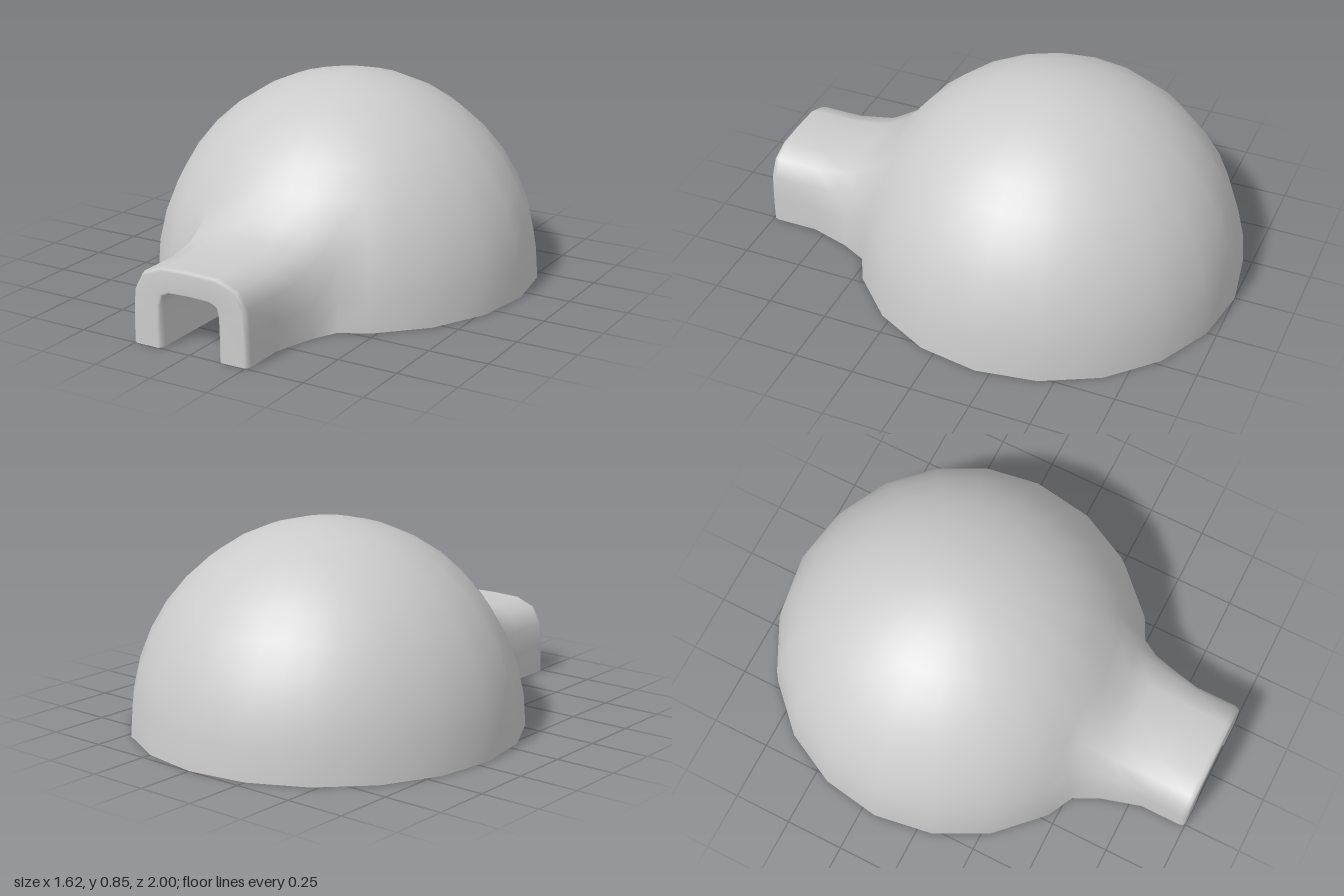
import * as THREE from 'three';
import { mergeVertices } from 'three/addons/utils/BufferGeometryUtils.js';

const R = 0.81, H = 0.85, ZC = -0.19, ROWS = 10;
const HOLE_ROWS = 3, HOLE_COLS = 2; // size of the gap in the dome grid, per side

// Half sections from the foot (+x) to the crown: [x, y, z]
const collar = [[0.31, 0, 0.63], [0.31, 0.13, 0.62], [0.285, 0.27, 0.585], [0.235, 0.39, 0.515], [0.12, 0.405, 0.535], [0, 0.41, 0.54]];
const neck = [[0.285, 0, 0.715], [0.285, 0.12, 0.71], [0.27, 0.235, 0.69], [0.222, 0.315, 0.645], [0.13, 0.345, 0.63], [0, 0.35, 0.63]];
const outerArch = [[0.26, 0], [0.259, 0.12], [0.252, 0.22], [0.213, 0.292], [0.125, 0.325], [0, 0.328]];
const innerArch = [[0.13, 0], [0.13, 0.09], [0.128, 0.17], [0.118, 0.208], [0.09, 0.222], [0, 0.225]];

const mirror = (half) => [...half, ...half.slice(0, -1).reverse().map(([x, y, z]) => [-x, y, z])];

// Arch between the outer (t = 0) and inner (t = 1) outline at depth z
const arch = (t, z) => mirror(outerArch.map(([x, y], i) => [
  x + (innerArch[i][0] - x) * t, y + (innerArch[i][1] - y) * t, z,
]));

function domePoint(row, col) {
  // points around the gap are pulled out into the tunnel collar
  if (row <= HOLE_ROWS && Math.abs(col) === HOLE_COLS) {
    const [x, y, z] = collar[row];
    return [x * Math.sign(col), y, z];
  }
  if (row === HOLE_ROWS && Math.abs(col) < HOLE_COLS) {
    const [x, y, z] = collar[5 - Math.abs(col)];
    return [x * Math.sign(col), y, z];
  }
  // 20-sided plan; odd columns are the midpoints of its sides
  const lat = (row / ROWS) * Math.PI / 2, step = Math.PI / 20;
  const r = R * Math.cos(lat) * (col % 2 ? Math.cos(step) : 1);
  return [r * Math.sin(col * step), H * Math.sin(lat), ZC + r * Math.cos(col * step)];
}

function addDome(out) {
  for (let row = 0; row < ROWS; row++) {
    for (let col = -20; col < 20; col++) {
      if (row < HOLE_ROWS && col >= -HOLE_COLS && col < HOLE_COLS) continue;
      const a = domePoint(row, col), b = domePoint(row, col + 1);
      const c = domePoint(row + 1, col + 1), d = domePoint(row + 1, col);
      out.push(...a, ...b, ...c);
      if (row < ROWS - 1) out.push(...a, ...c, ...d);
    }
  }
}

function addLoft(out, rings) {
  for (let s = 0; s < rings.length - 1; s++) {
    for (let i = 0; i < rings[s].length - 1; i++) {
      const a = rings[s][i], b = rings[s][i + 1], c = rings[s + 1][i + 1], d = rings[s + 1][i];
      out.push(...a, ...b, ...c, ...a, ...c, ...d);
    }
  }
}

function smoothMesh(name, positions, material) {
  let geometry = new THREE.BufferGeometry();
  geometry.setAttribute('position', new THREE.Float32BufferAttribute(positions, 3));
  geometry = mergeVertices(geometry, 1e-4);
  geometry.computeVertexNormals();
  const mesh = new THREE.Mesh(geometry, material);
  mesh.name = name;
  return mesh;
}

export function createModel() {
  const group = new THREE.Group();
  group.name = 'igloo';
  const material = new THREE.MeshStandardMaterial({ color: 0xcccccc, side: THREE.DoubleSide });

  // Dome flowing into the entrance tunnel and its rounded front lip
  const shell = [];
  addDome(shell);
  addLoft(shell, [
    mirror(collar), mirror(neck), arch(0, 0.8), arch(0, 0.975),
    arch(0.04, 0.993), arch(0.12, 1), arch(0.88, 1), arch(0.96, 0.993), arch(1, 0.975),
  ]);
  group.add(smoothMesh('domeAndTunnel', shell, material));

  // Inner walls and ceiling of the passage
  const lining = [];
  addLoft(lining, [arch(1, 0.975), arch(1, 0.8), arch(1, 0.53)]);
  group.add(smoothMesh('passageLining', lining, material));

  return group;
}
